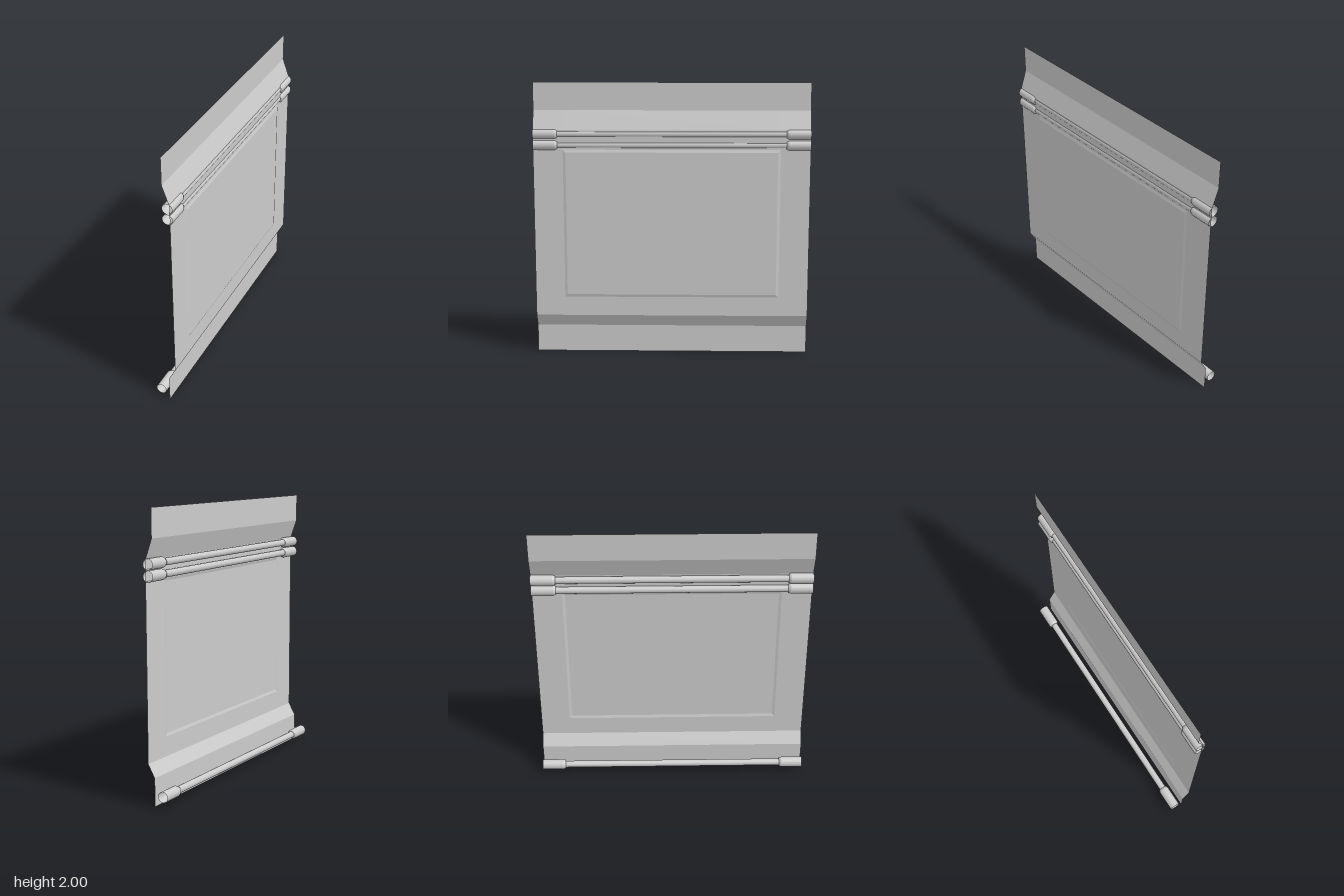
import * as THREE from 'three';

const metal = new THREE.MeshStandardMaterial({ color: 0xcccccc, side: THREE.DoubleSide });
const sheetMaterial = new THREE.MeshStandardMaterial({ color: 0xcccccc, side: THREE.DoubleSide, flatShading: true });

// Folded sheet: height rows with their x offset, and z columns across the width
const rows = [
  [0, 0.013], [0.2, 0.013], [0.29, 0.064], [0.43, 0.064], [0.45, 0.064],
  [1.5, 0.064], [1.52, 0.064], [1.66, 0.064], [1.8, 0.013], [2, 0.013],
];
const columns = [-1, -0.785, -0.765, 0.765, 0.785, 1];
const RAISE = 0.006;

function sheetPoint(r, c) {
  // The middle field is pressed outwards, with a narrow bevel round it
  const [y, x] = rows[r];
  const raised = (r === 4 || r === 5) && (c === 2 || c === 3);
  return [x + (raised ? RAISE : 0), y, columns[c]];
}

function makeSheet() {
  const positions = [];
  for (let r = 0; r < rows.length - 1; r++) {
    for (let c = 0; c < columns.length - 1; c++) {
      const p = [sheetPoint(r, c), sheetPoint(r + 1, c), sheetPoint(r + 1, c + 1), sheetPoint(r, c + 1)];
      // Turn the diagonal so that the bevel corners are mitred
      const flip = (r < 4) !== (c < 2);
      const order = flip ? [0, 1, 3, 1, 2, 3] : [0, 1, 2, 0, 2, 3];
      for (const i of order) positions.push(...p[i]);
    }
  }
  const geometry = new THREE.BufferGeometry();
  geometry.setAttribute('position', new THREE.Float32BufferAttribute(positions, 3));
  geometry.computeVertexNormals();
  const mesh = new THREE.Mesh(geometry, sheetMaterial);
  mesh.name = 'pressedPanel';
  return mesh;
}

// Open tube along z
function tubePart(name, points) {
  const geometry = new THREE.LatheGeometry(points.map(([r, z]) => new THREE.Vector2(r, z)), 24);
  geometry.rotateX(Math.PI / 2);
  const mesh = new THREE.Mesh(geometry, metal);
  mesh.name = name;
  return mesh;
}

// Slim rail with a wider sleeve at each end
function makeRail(name, x, y) {
  const rail = new THREE.Group();
  rail.name = name;
  rail.add(tubePart('railTube', [[0.025, -0.83], [0.025, 0.83]]));
  for (const side of [1, -1]) {
    const sleeve = new THREE.Group();
    sleeve.name = side > 0 ? 'frontSleeve' : 'backSleeve';
    sleeve.add(tubePart('sleeveShoulder', [[0.025, 0.825], [0.031, 0.825], [0.038, 0.842]]));
    sleeve.add(tubePart('sleeveBarrel', [[0.038, 0.842], [0.038, 1]]));
    if (side < 0) sleeve.rotation.y = Math.PI;
    rail.add(sleeve);
  }
  rail.position.set(x, y, 0);
  return rail;
}

export function createModel() {
  const model = new THREE.Group();
  model.name = 'railedPanel';
  model.add(makeSheet());
  model.add(makeRail('upperRail', 0.046, 1.632));
  model.add(makeRail('middleRail', 0.046, 1.552));
  model.add(makeRail('bottomRail', -0.051, 0.077));
  return model;
}
